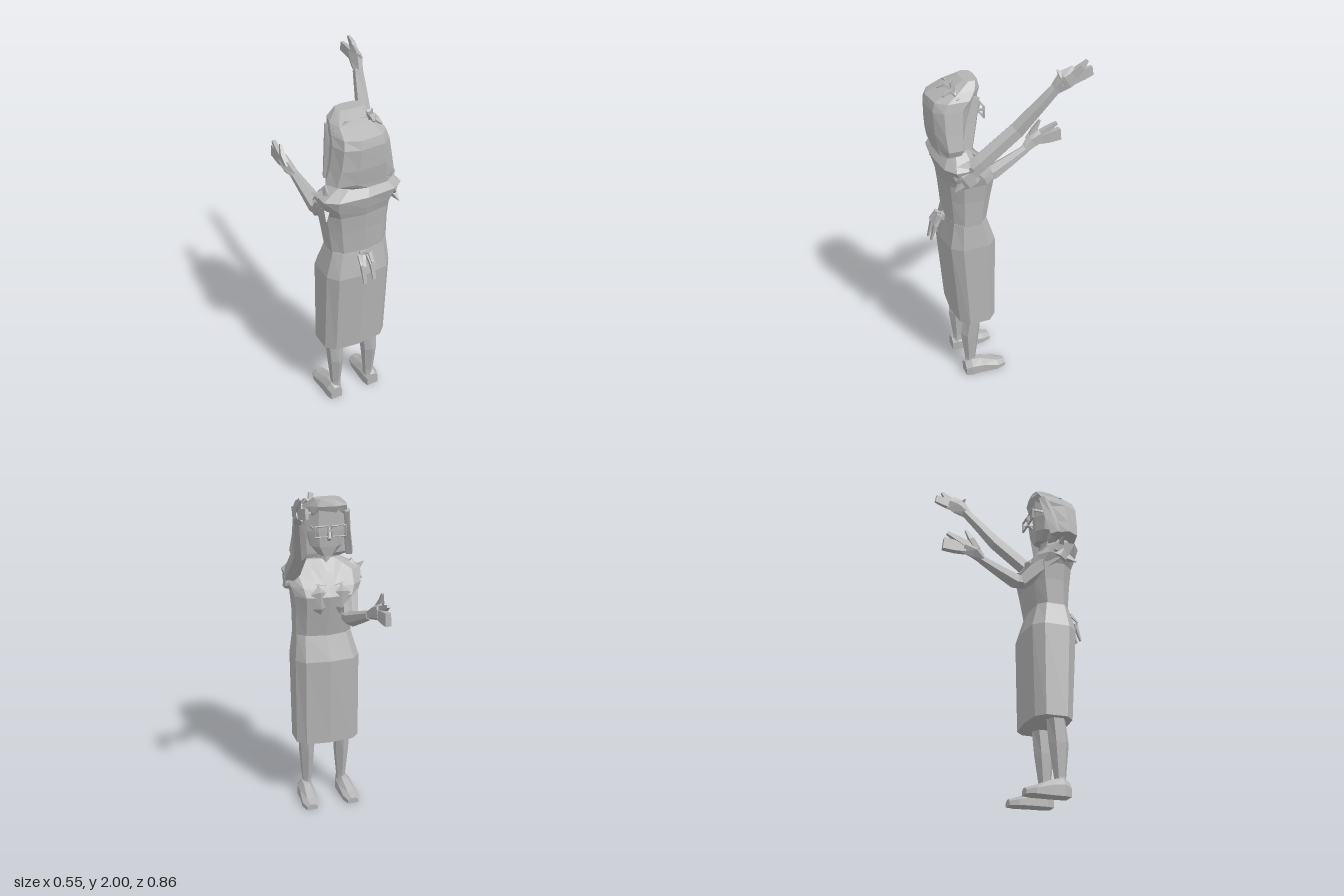
import * as THREE from 'three';

const V = (x, y, z) => new THREE.Vector3(x, y, z);

// Skins a list of equal-length point rings and caps both ends
function loft(rings) {
  const pos = [];
  const tri = (...p) => p.forEach((v) => pos.push(v.x, v.y, v.z));
  const n = rings[0].length;
  for (let i = 0; i < rings.length - 1; i++) {
    for (let j = 0; j < n; j++) {
      const k = (j + 1) % n, a = rings[i], b = rings[i + 1];
      tri(a[j], b[j], b[k]);
      tri(a[j], b[k], a[k]);
    }
  }
  [rings[0], rings[rings.length - 1]].forEach((r, end) => {
    const c = r.reduce((s, p) => s.add(p), V(0, 0, 0)).divideScalar(n);
    for (let j = 0; j < n; j++) {
      const k = (j + 1) % n;
      if (end) tri(c, r[k], r[j]); else tri(c, r[j], r[k]);
    }
  });
  const g = new THREE.BufferGeometry();
  g.setAttribute('position', new THREE.Float32BufferAttribute(pos, 3));
  g.computeVertexNormals();
  return g;
}

// Upright body from rows of [y, xMin, xMax, zMin, zMax]; power < 1 squares it off
function body(rows, sides, power = 0.7) {
  const sq = (v) => Math.sign(v) * Math.abs(v) ** power;
  return loft(rows.map(([y, x0, x1, z0, z1]) => Array.from({ length: sides }, (_, j) => {
    const a = ((j + 0.5) / sides) * Math.PI * 2, m = Math.cos(Math.PI / sides) ** power;
    return V((x0 + x1) / 2 + (x1 - x0) / 2 * sq(Math.cos(a)) / m, y,
      (z0 + z1) / 2 + (z1 - z0) / 2 * sq(Math.sin(a)) / m);
  })));
}

// Tapered limb through [x, y, z, sideRadius, otherRadius]
function limb(path, sides = 5) {
  const p = path.map(([x, y, z]) => V(x, y, z));
  return loft(path.map(([, , , r, q = r], i) => {
    const d = p[Math.min(i + 1, p.length - 1)].clone().sub(p[Math.max(i - 1, 0)]).normalize();
    const s = V(1, 0, 0).addScaledVector(d, -d.x).normalize();
    const t = s.clone().cross(d);
    return Array.from({ length: sides }, (_, j) => {
      const a = ((j + 0.5) / sides) * Math.PI * 2;
      return p[i].clone().addScaledVector(s, r * Math.cos(a)).addScaledVector(t, q * Math.sin(a));
    });
  }));
}

export function createModel() {
  const model = new THREE.Group();
  const grey = new THREE.MeshStandardMaterial({ color: 0xb4b4b4, flatShading: true, side: THREE.DoubleSide });
  grey.name = 'light grey';
  const add = (name, geometry, parent = model) => {
    const mesh = new THREE.Mesh(geometry, grey);
    mesh.name = name;
    parent.add(mesh);
    return mesh;
  };
  const group = (name) => {
    const g = new THREE.Group();
    g.name = name;
    model.add(g);
    return g;
  };

  // Dress
  add('skirt', body([
    [0.42, -0.217, 0.167, 0.09, 0.325],
    [0.95, -0.217, 0.167, 0.08, 0.365],
    [1.1, -0.175, 0.15, 0.13, 0.335],
  ], 10, 0.6));
  add('bodice', body([
    [1.09, -0.175, 0.152, 0.13, 0.335],
    [1.24, -0.193, 0.155, 0.1, 0.345],
    [1.34, -0.21, 0.165, 0.08, 0.355],
    [1.39, -0.235, 0.18, 0.105, 0.37],
    [1.46, -0.25, 0.2, 0.18, 0.387],
    [1.53, -0.12, 0.12, 0.215, 0.34],
  ], 10));
  for (const s of [-1, 1]) {
    const x = -0.03;
    add('bust', limb([[x + s * 0.05, 1.2, 0.15, 0.025], [x + s * 0.06, 1.28, 0.115, 0.05, 0.035],
      [x + s * 0.065, 1.35, 0.115, 0.055, 0.045], [x + s * 0.07, 1.44, 0.21, 0.025]], 6));
    // Lapel folded beside the open neck
    add('lapel', loft([
      [V(x, 1.3, 0.085), V(x + s * 0.01, 1.3, 0.085), V(x, 1.3, 0.095)],
      [V(x + s * 0.025, 1.4, 0.11), V(x + s * 0.08, 1.41, 0.128), V(x + s * 0.04, 1.4, 0.145)],
      [V(x + s * 0.06, 1.52, 0.215), V(x + s * 0.1, 1.5, 0.21), V(x + s * 0.07, 1.5, 0.24)],
    ]));
  }

  // Waist bow with two loops and two tails
  const bow = group('waistBow');
  add('knot', new THREE.BoxGeometry(0.04, 0.035, 0.035), bow).position.set(-0.025, 1.08, 0.34);
  for (const [x, drop] of [[-0.055, 0.945], [0.0, 0.955]]) {
    add('tail', limb([[-0.025, 1.08, 0.335, 0.012, 0.01], [(x - 0.02) / 2, 1.085, 0.37, 0.018, 0.012],
      [x, 1.04, 0.4, 0.02, 0.014], [x, drop, 0.428, 0.012, 0.005]], 4), bow);
    add('loop', limb([[-0.025, 1.08, 0.34, 0.01], [x * 1.1, 1.095, 0.375, 0.018, 0.012],
      [x * 1.2, 1.055, 0.405, 0.012, 0.008], [x, 1.0, 0.39, 0.005]], 4), bow);
  }

  // Legs and shoes
  for (const [side, x, out] of [['right', -0.139, -1], ['left', 0.084, 1]]) {
    add(side + 'Leg', limb([[x, 0.05, 0.248, 0.03, 0.034], [x, 0.11, 0.245, 0.029, 0.034],
      [x, 0.29, 0.243, 0.045, 0.057], [x, 0.46, 0.225, 0.053, 0.053]], 6));
    const o = out * 0.013;
    const rect = (z, h, w, c) => [V(c - w, 0, z), V(c - w, h * 0.6, z), V(c - w * 0.4, h, z),
      V(c + w * 0.4, h, z), V(c + w, h * 0.6, z), V(c + w, 0, z)];
    add(side + 'Shoe', loft([rect(0.04, 0.035, 0.033, x + o * 1.5), rect(0.09, 0.05, 0.05, x + o * 1.5),
      rect(0.19, 0.09, 0.046, x + o), rect(0.25, 0.1, 0.046, x + o), rect(0.288, 0.08, 0.036, x + o)]));
  }

  // Raised arm
  const up = group('leftArm');
  add('arm', limb([[0.15, 1.4, 0.29, 0.05, 0.055], [0.165, 1.48, 0.19, 0.046, 0.052],
    [0.175, 1.635, -0.01, 0.042, 0.05], [0.21, 1.77, -0.12, 0.034, 0.038],
    [0.232, 1.86, -0.195, 0.026, 0.034]], 6), up);
  add('palm', limb([[0.232, 1.855, -0.19, 0.025, 0.034], [0.245, 1.9, -0.24, 0.032, 0.062],
    [0.25, 1.925, -0.295, 0.022, 0.055]], 5), up);
  add('thumb', limb([[0.25, 1.88, -0.225, 0.02, 0.025], [0.25, 1.925, -0.215, 0.018, 0.02],
    [0.225, 1.955, -0.2, 0.006]], 4), up);
  add('upperFingers', limb([[0.253, 1.925, -0.27, 0.022, 0.036], [0.262, 1.965, -0.315, 0.016, 0.024],
    [0.257, 1.993, -0.347, 0.009]], 4), up);
  add('lowerFingers', limb([[0.25, 1.905, -0.28, 0.02, 0.038], [0.245, 1.918, -0.34, 0.016, 0.038],
    [0.237, 1.927, -0.387, 0.012, 0.035]], 4), up);

  // Bent arm reaching forward
  const bent = group('rightArm');
  add('upperArm', limb([[-0.2, 1.42, 0.27, 0.045, 0.055], [-0.16, 1.32, 0.15, 0.048, 0.05],
    [-0.13, 1.215, 0.045, 0.046, 0.038]], 6), bent);
  add('forearm', limb([[-0.125, 1.225, 0.065, 0.048, 0.035], [-0.13, 1.225, 0.01, 0.05, 0.045],
    [-0.143, 1.27, -0.1, 0.038, 0.035], [-0.157, 1.315, -0.205, 0.026, 0.026]], 6), bent);
  add('palm', limb([[-0.157, 1.315, -0.2, 0.026, 0.026], [-0.178, 1.345, -0.25, 0.032, 0.046],
    [-0.18, 1.365, -0.31, 0.026, 0.05]], 5), bent);
  add('thumb', limb([[-0.185, 1.355, -0.235, 0.02, 0.024], [-0.195, 1.41, -0.275, 0.018, 0.02],
    [-0.19, 1.465, -0.305, 0.008]], 4), bent);
  add('upperFingers', limb([[-0.185, 1.37, -0.29, 0.024, 0.03], [-0.187, 1.4, -0.35, 0.02, 0.022],
    [-0.185, 1.43, -0.41, 0.014, 0.012]], 4), bent);
  add('lowerFingers', limb([[-0.18, 1.35, -0.3, 0.026, 0.036], [-0.178, 1.355, -0.36, 0.025, 0.046],
    [-0.178, 1.362, -0.43, 0.022, 0.05]], 4), bent);

  // Ruffled cap sleeves
  for (const [side, s, x, reach] of [['right', -1, -0.205, 1], ['left', 1, 0.165, 0.65]]) {
    const sleeve = group(side + 'Sleeve');
    add('cap', limb([[x - s * 0.03, 1.47, 0.285, 0.05, 0.06], [x, 1.43, 0.27, 0.04, 0.07],
      [x + s * 0.012, 1.37, 0.24, 0.028, 0.05]], 7), sleeve);
    for (const [y, z, ty, tz, out] of [[1.43, 0.25, 1.485, 0.25, 0.07], [1.4, 0.27, 1.35, 0.34, 0.035],
      [1.42, 0.23, 1.4, 0.21, 0.05]]) {
      add('ruffle', limb([[x, y, z, 0.035, 0.04], [x + s * out * reach, ty, tz, 0.003]], 4), sleeve);
    }
  }

  // Head
  const head = group('head');
  const cx = -0.035;
  add('neck', limb([[cx, 1.44, 0.26, 0.055], [cx, 1.62, 0.25, 0.05]], 6), head);
  add('face', body([
    [1.555, cx - 0.04, cx + 0.04, 0.165, 0.28],
    [1.61, cx - 0.09, cx + 0.09, 0.155, 0.32],
    [1.7, cx - 0.11, cx + 0.11, 0.15, 0.34],
    [1.82, cx - 0.105, cx + 0.105, 0.15, 0.34],
  ], 8), head);
  add('nose', limb([[cx, 1.72, 0.155, 0.008], [cx, 1.665, 0.14, 0.016, 0.02], [cx, 1.65, 0.155, 0.01]], 4), head);

  // Bobbed hair, open at the face
  add('bob', body([
    [1.52, -0.12, 0.13, 0.245, 0.385],
    [1.555, -0.22, 0.143, 0.23, 0.39],
    [1.64, -0.198, 0.125, 0.22, 0.402],
    [1.755, -0.18, 0.105, 0.205, 0.405],
    [1.8, -0.17, 0.095, 0.155, 0.392],
    [1.84, -0.155, 0.07, 0.135, 0.31],
    [1.882, -0.105, 0.04, 0.145, 0.22],
  ], 9), head);
  for (const s of [-1, 1]) {
    add('sideLock', limb([[cx + s * 0.148, 1.55, 0.25, 0.026, 0.045], [cx + s * 0.128, 1.68, 0.22, 0.022, 0.045],
      [cx + s * 0.11, 1.81, 0.18, 0.02, 0.03]], 5), head);
  }

  // Ribbon on the crown
  add('hairBand', limb([[-0.165, 1.81, 0.285, 0.012], [-0.1, 1.848, 0.28, 0.012],
    [0.03, 1.85, 0.275, 0.012], [0.085, 1.81, 0.275, 0.012]], 4), head);
  for (const [tx, ty, tz] of [[0.01, 1.88, 0.36], [0.08, 1.85, 0.285], [0.065, 1.85, 0.345], [0.02, 1.89, 0.29]]) {
    add('hairRibbon', limb([[0.035, 1.84, 0.28, 0.018], [(0.035 + tx) / 2, ty, (0.285 + tz) / 2, 0.022, 0.01],
      [tx, ty - 0.015, tz, 0.006]], 4), head);
  }

  // Glasses: wide rims, bridge and temples
  const glasses = group('glasses');
  for (const s of [-1, 1]) {
    const rim = new THREE.TorusGeometry(0.05, 0.007, 4, 4);
    rim.rotateZ(Math.PI / 4).scale(1.1, 0.85, 1);
    add('rim', rim, glasses).position.set(cx + s * 0.05, 1.705, 0.125);
    add('temple', new THREE.BoxGeometry(0.008, 0.012, 0.1), glasses).position.set(cx + s * 0.094, 1.725, 0.175);
  }
  add('bridge', new THREE.BoxGeometry(0.03, 0.01, 0.01), glasses).position.set(cx, 1.71, 0.122);

  return model;
}
